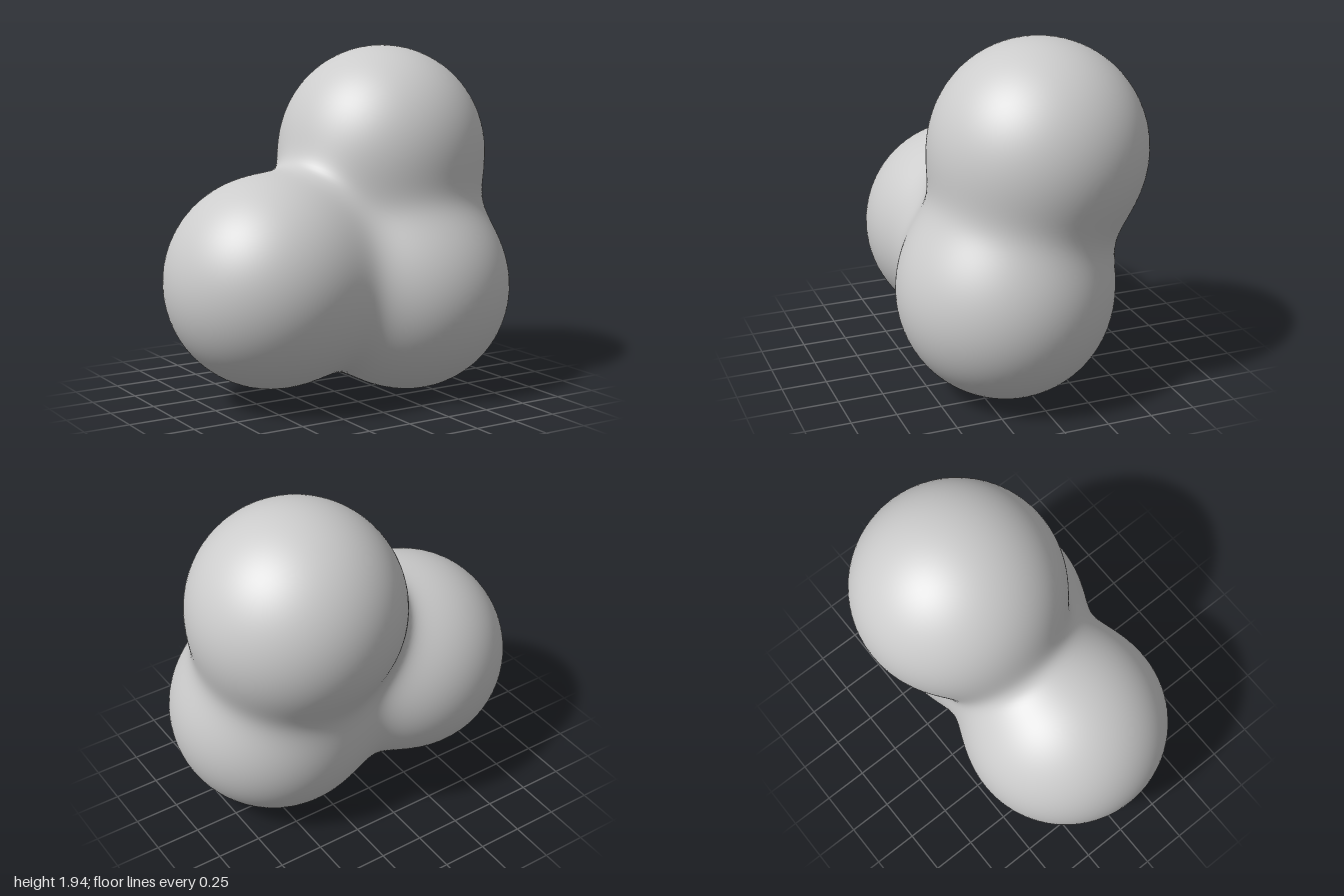
import * as THREE from 'three';

// Three overlapping balls melted into one smooth body
const balls = [
  { c: new THREE.Vector3(-0.42, 0.68, 0.02), r: 0.58 },   // side lobe
  { c: new THREE.Vector3(0.375, 1.355, -0.1), r: 0.585 }, // upper lobe
  { c: new THREE.Vector3(0.415, 0.588, 0.1), r: 0.585 },  // lower lobe
];
const SHARPNESS = 10.5;

// Smoothly blended distance to the balls, negative inside
function field(p) {
  let sum = 0;
  for (const { c, r } of balls) sum += Math.exp(-SHARPNESS * (p.distanceTo(c) - r));
  return -Math.log(sum) / SHARPNESS;
}

// Outward direction of the blended surface
function fieldNormal(p) {
  const n = new THREE.Vector3();
  for (const { c, r } of balls) {
    const d = p.distanceTo(c);
    n.addScaledVector(p.clone().sub(c).divideScalar(d), Math.exp(-SHARPNESS * (d - r)));
  }
  return n.normalize();
}

// Push every vertex of a sphere out from a shared inner point to the surface
function createBlobGeometry() {
  const core = new THREE.Vector3(0.05, 0.93, 0);
  const geometry = new THREE.IcosahedronGeometry(1, 28);
  const position = geometry.attributes.position;
  const normal = geometry.attributes.normal;
  const dir = new THREE.Vector3();
  const p = new THREE.Vector3();
  for (let i = 0; i < position.count; i++) {
    dir.fromBufferAttribute(position, i).normalize();
    let inside = 0, outside = 2;
    for (let k = 0; k < 24; k++) {
      const mid = (inside + outside) / 2;
      p.copy(core).addScaledVector(dir, mid);
      if (field(p) < 0) inside = mid;
      else outside = mid;
    }
    p.copy(core).addScaledVector(dir, inside);
    const n = fieldNormal(p);
    position.setXYZ(i, p.x, p.y, p.z);
    normal.setXYZ(i, n.x, n.y, n.z);
  }
  return geometry;
}

export function createModel() {
  const group = new THREE.Group();
  group.name = 'threeLobedBlob';
  const grey = new THREE.MeshStandardMaterial({ color: 0xcccccc });
  grey.name = 'light grey';
  const blob = new THREE.Mesh(createBlobGeometry(), grey);
  blob.name = 'blobBody';
  group.add(blob);
  return group;
}
